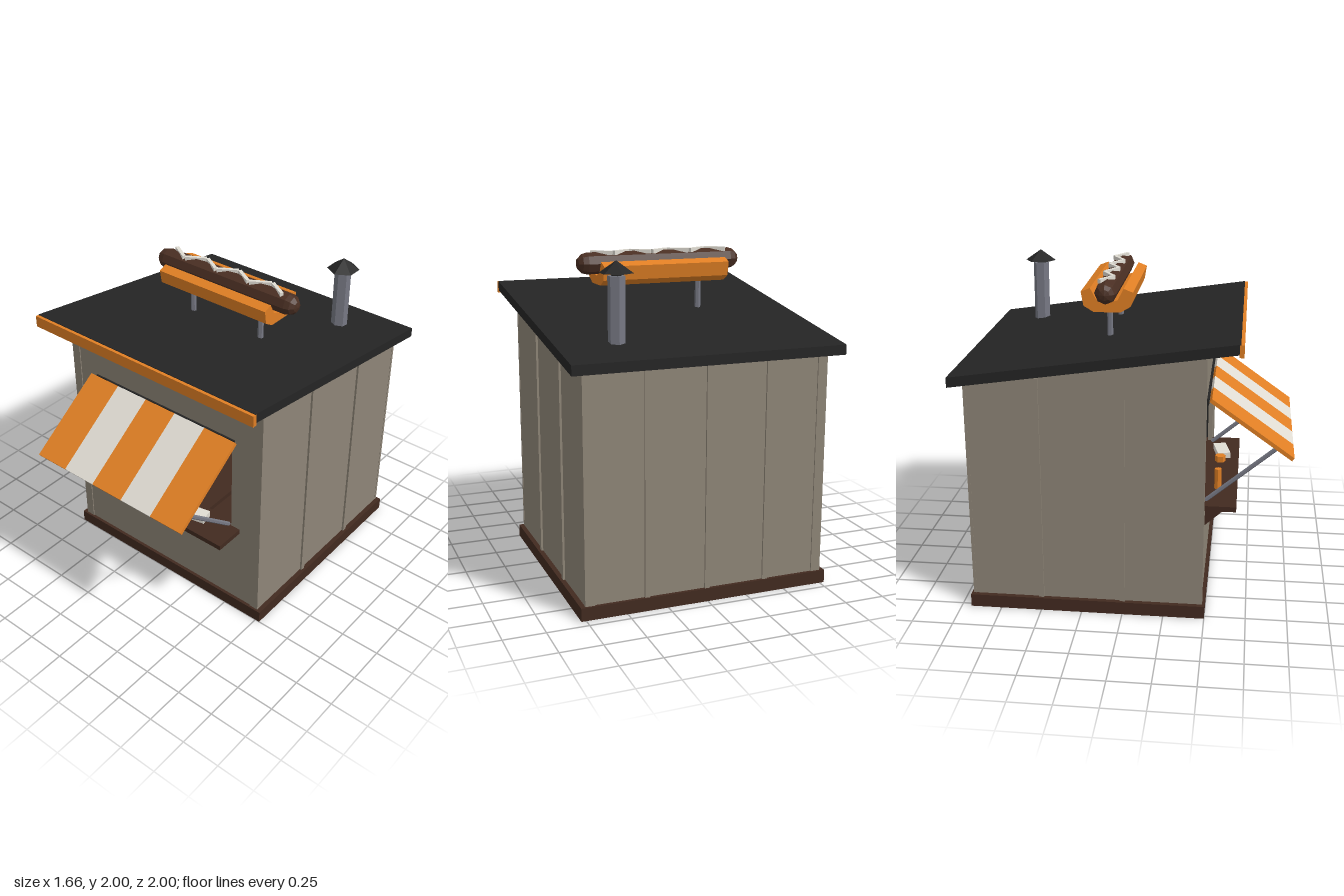
import * as THREE from 'three';

const paint = (name, color) => {
  const m = new THREE.MeshStandardMaterial({ color });
  m.name = name;
  return m;
};

export function createModel() {
  const group = new THREE.Group();
  group.name = 'foodStand';
  const wall = paint('taupe wall', 0x8e8577);
  const brown = paint('dark brown wood', 0x422a20);
  const sausageBrown = paint('sausage brown', 0x4a2f23);
  const charcoal = paint('charcoal', 0x242424);
  const orange = paint('orange', 0xe07f24);
  const cream = paint('off white', 0xe0dcd3);
  const steel = paint('steel grey', 0x767883);

  // Every mesh gets faceted normals
  const add = (name, geo, mat, x = 0, y = 0, z = 0) => {
    const g = geo.index ? geo.toNonIndexed() : geo;
    g.computeVertexNormals();
    const m = new THREE.Mesh(g, mat);
    m.name = name;
    m.position.set(x, y, z);
    group.add(m);
    return m;
  };
  // Box from its limits on each axis
  const box = (name, mat, x0, x1, y0, y1, z0, z1) =>
    add(name, new THREE.BoxGeometry(x1 - x0, y1 - y0, z1 - z0), mat, (x0 + x1) / 2, (y0 + y1) / 2, (z0 + z1) / 2);
  // Profile of [z, y] points, extruded along x
  const prism = (name, mat, points, width, x = 0) => {
    const shape = new THREE.Shape(points.map(([z, y]) => new THREE.Vector2(z, y)));
    const g = new THREE.ExtrudeGeometry(shape, { depth: width, bevelEnabled: false });
    g.translate(0, 0, -width / 2).rotateY(-Math.PI / 2);
    return add(name, g, mat, x);
  };
  // Round bar between two points
  const rod = (name, mat, a, b, r, sides = 6) => {
    const p = new THREE.Vector3(...a), d = new THREE.Vector3(...b).sub(p);
    const m = add(name, new THREE.CylinderGeometry(r, r, d.length(), sides), mat);
    m.position.copy(p).addScaledVector(d, 0.5);
    m.quaternion.setFromUnitVectors(new THREE.Vector3(0, 1, 0), d.normalize());
    return m;
  };
  const eave = z => 1.435 + 0.147 * (z + 1); // underside of the sloping roof

  // Base, which is also the floor
  box('base', brown, -0.78, 0.78, 0, 0.08, -0.94, 0.5);

  // Front wall with the serving window cut out
  const front = new THREE.Shape();
  front.moveTo(-0.75, 0.08).lineTo(0.75, 0.08).lineTo(0.75, eave(0.45)).lineTo(-0.75, eave(0.45)).closePath();
  const hole = new THREE.Path();
  hole.moveTo(-0.53, 0.65).lineTo(-0.53, 1.29).lineTo(0.53, 1.29).lineTo(0.53, 0.65).closePath();
  front.holes.push(hole);
  add('frontWall', new THREE.ExtrudeGeometry(front, { depth: 0.03, bevelEnabled: false }), wall, 0, 0, 0.45);

  // Side and back walls with dark lining
  const side = (z0, z1) => [[z0, 0.08], [z1, 0.08], [z1, eave(z1)], [z0, eave(z0)]];
  for (const s of [-1, 1]) {
    prism('sideWall', wall, side(-0.92, 0.48), 0.03, s * 0.735);
    prism('sideLining', charcoal, side(-0.88, 0.45), 0.01, s * 0.715);
    // Side battens and corner boards
    for (const z of [0, -0.5]) {
      box('sideBatten', wall, s * 0.755 - 0.008, s * 0.755 + 0.008, 0.08, eave(z) - 0.02, z - 0.016, z + 0.016);
    }
    const x = s * 0.722;
    box('frontCornerBoard', wall, x - 0.03, x + 0.03, 0.08, eave(0.48), 0.47, 0.486);
    box('backCornerBoard', wall, x - 0.03, x + 0.03, 0.08, eave(-0.92), -0.928, -0.91);
  }
  box('backWall', wall, -0.75, 0.75, 0.08, eave(-0.92), -0.92, -0.89);
  box('backLining', charcoal, -0.72, 0.72, 0.08, eave(-0.89), -0.89, -0.88);
  for (const x of [-0.375, 0, 0.375]) {
    box('backBatten', wall, x - 0.016, x + 0.016, 0.08, eave(-0.92) - 0.01, -0.932, -0.91);
  }

  // Sloping roof and its front fascia
  prism('roof', charcoal, [[-1, eave(-1)], [0.67, eave(0.67)], [0.67, eave(0.67) + 0.06], [-1, eave(-1) + 0.06]], 1.66);
  box('fascia', orange, -0.832, 0.832, 1.665, 1.737, 0.663, 0.69);

  // Serving shelf and brackets
  box('servingShelf', brown, -0.595, 0.595, 0.632, 0.664, 0.44, 0.672);
  for (const x of [-0.47, 0.47]) {
    prism('shelfBracket', brown, [[0.48, 0.485], [0.64, 0.632], [0.48, 0.632]], 0.03, x);
  }

  // Striped awning, hinge rail and props
  for (let i = 0; i < 5; i++) {
    const stripe = add('awningStripe', new THREE.BoxGeometry(0.23, 0.024, 0.605), i % 2 ? cream : orange, (i - 2) * 0.23, 1.153, 0.75);
    stripe.rotation.x = 0.617;
  }
  box('awningHinge', charcoal, -0.55, 0.55, 1.29, 1.325, 0.475, 0.492);
  for (const x of [-0.51, 0.51]) rod('awningProp', steel, [x, 0.665, 0.48], [x, 1.03, 0.91], 0.014);

  // Grill on an inner counter
  box('innerCounter', brown, -0.6, 0.3, 0.6, 0.63, 0.0, 0.44);
  box('grill', steel, -0.44, -0.065, 0.63, 0.75, 0.08, 0.36);
  box('grillPlate', charcoal, -0.43, -0.075, 0.75, 0.767, 0.09, 0.35);

  // Things on the shelf
  rod('sauceBottle', orange, [-0.31, 0.664, 0.55], [-0.31, 0.795, 0.55], 0.022, 8);
  rod('sauceCup', orange, [0.15, 0.664, 0.55], [0.15, 0.704, 0.55], 0.036, 6);
  const napkins = add('napkinStack', new THREE.BoxGeometry(0.19, 0.038, 0.085), cream, 0.29, 0.684, 0.555);
  napkins.rotation.y = 0.2;

  // Flue pipe and cap
  rod('fluePipe', steel, [0.47, 0.08, -0.69], [0.47, 1.915, -0.69], 0.051);
  rod('flueNeck', charcoal, [0.47, 1.915, -0.69], [0.47, 1.935, -0.69], 0.03);
  add('flueCap', new THREE.ConeGeometry(0.1, 0.07, 6), charcoal, 0.47, 1.965, -0.69);

  // Rooftop sign: posts, bun, sausage and zigzag sauce
  const zc = -0.127;
  for (const x of [-0.265, 0.265]) rod('signPost', steel, [x, 1.56, zc], [x, 1.82, zc], 0.018);
  const half = [[0.08, 1.797], [0.14, 1.833], [0.155, 1.918], [0.1, 1.94], [0.063, 1.87]];
  const mirrored = half.map(([z, y]) => [zc - z, y]).reverse();
  prism('bun', orange, [...half.map(([z, y]) => [zc + z, y]), [zc, 1.85], ...mirrored], 0.81);
  const sausage = new THREE.CapsuleGeometry(0.066, 0.93, 3, 8).rotateZ(Math.PI / 2);
  add('sausage', sausage, sausageBrown, 0, 1.924, zc);
  for (let i = 0; i < 7; i++) {
    const s = i % 2 ? 1 : -1;
    const strip = add('sauceZigzag', new THREE.BoxGeometry(0.135, 0.026, 0.022), cream, (i - 3) * 0.124, 1.986, -0.134);
    strip.rotation.y = s * 0.54;
  }
  return group;
}
